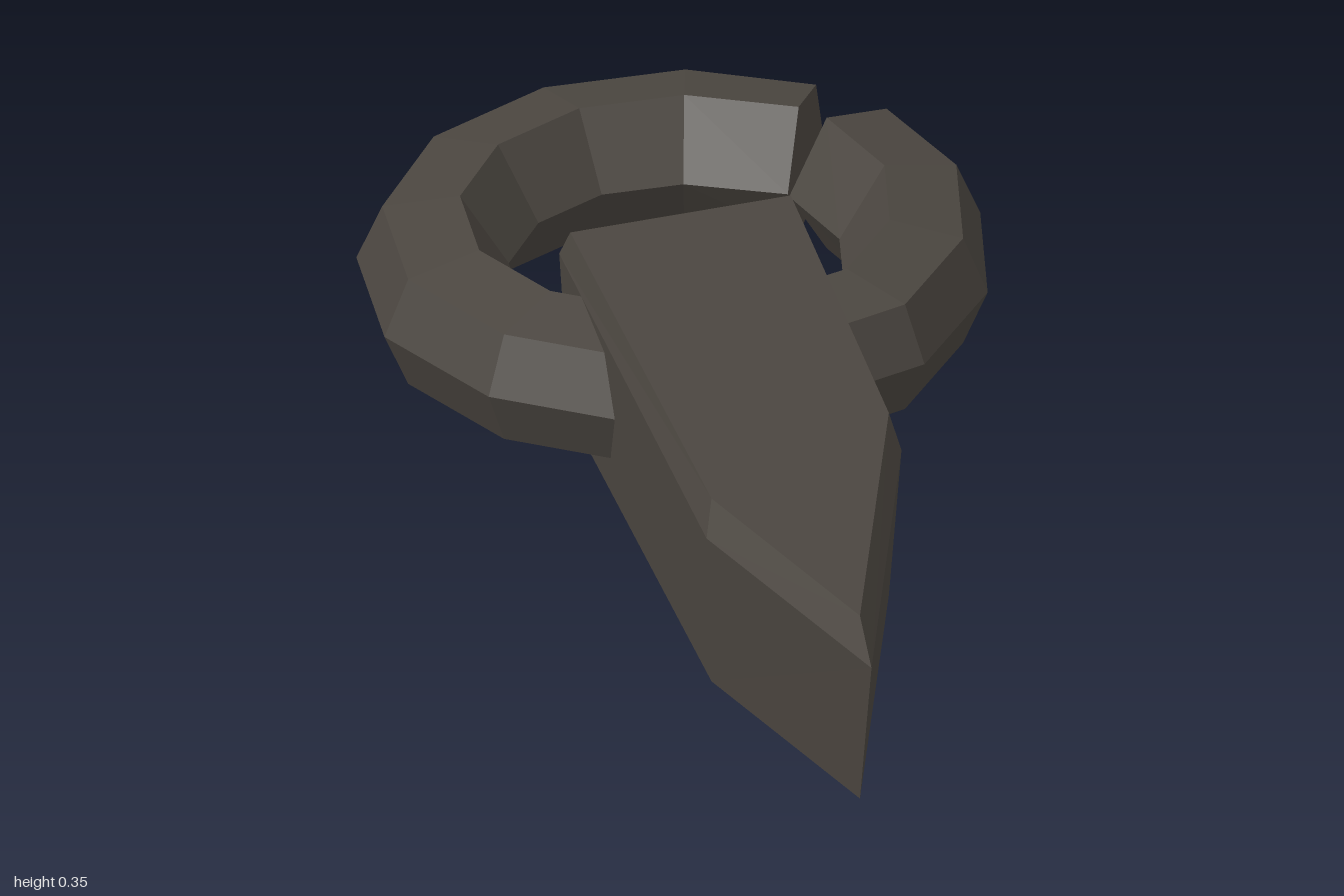
import * as THREE from 'three';

// Flat-shaded skin over equal cross-sections, capped at both ends.
// Each section runs counter-clockwise when seen from the far end.
function loft(sections) {
  const n = sections[0].length;
  const index = [];
  for (let i = 0; i < sections.length - 1; i++) {
    for (let j = 0; j < n; j++) {
      const a = i * n + j, b = i * n + (j + 1) % n;
      index.push(a, b, b + n, a, b + n, a + n);
    }
  }
  const last = (sections.length - 1) * n;
  for (let j = 1; j < n - 1; j++) {
    index.push(0, j + 1, j, last, last + j, last + j + 1);
  }
  const geo = new THREE.BufferGeometry();
  geo.setAttribute('position', new THREE.Float32BufferAttribute(sections.flat(2), 3));
  geo.setIndex(index);
  const flat = geo.toNonIndexed();
  flat.computeVertexNormals();
  return flat;
}

export function createModel() {
  const group = new THREE.Group();
  group.name = 'ringedSpike';

  const iron = new THREE.MeshStandardMaterial({ color: 0x4b4640 });
  iron.name = 'darkIron';

  const add = (name, geo) => {
    const mesh = new THREE.Mesh(geo, iron);
    mesh.name = name;
    group.add(mesh);
  };

  // Pointed shank: widest just under the bevelled top
  const wide = [[-0.235, -0.405], [-0.255, 0.53], [-0.11, 1.0], [0.13, 0.35], [0.168, -0.418]];
  const narrow = [[-0.222, -0.385], [-0.235, 0.49], [-0.105, 0.915], [0.12, 0.31], [0.158, -0.397]];
  const level = (outline, y) => outline.map(([x, z]) => [x, y, z]);
  add('spike', loft([level(narrow, 0), level(wide, 0.3), level(narrow, 0.35)]));

  // Open ring: outer corners, with inner corners scaled towards the centre
  const centreZ = -0.5;
  const outer = [
    [0.35, -0.875], [0.15, -0.987], [-0.11, -0.998], [-0.345, -0.89], [-0.5, -0.685],
    [-0.526, -0.43], [-0.415, -0.2], [-0.19, -0.04], [0.08, -0.035], [0.3, -0.1],
    [0.463, -0.29], [0.522, -0.537], [0.458, -0.75],
  ];
  // Hexagonal section: fraction from outer to inner edge, height
  const profile = [[0, 0.175], [0.17, 0.075], [0.68, 0.05], [1, 0.175], [0.68, 0.3], [0.17, 0.275]];
  const sections = outer.map(([x, z], i) => {
    const isEnd = i === 0 || i === outer.length - 1;
    // The two cut ends almost meet on the inside of the ring
    const inner = isEnd
      ? [0.235, i === 0 ? -0.68 : -0.672]
      : [x * 0.53, centreZ + (z - centreZ) * 0.53];
    return profile.map(([t, y]) => [
      THREE.MathUtils.lerp(x, inner[0], t), y, THREE.MathUtils.lerp(z, inner[1], t),
    ]);
  });
  add('ring', loft(sections));

  return group;
}
